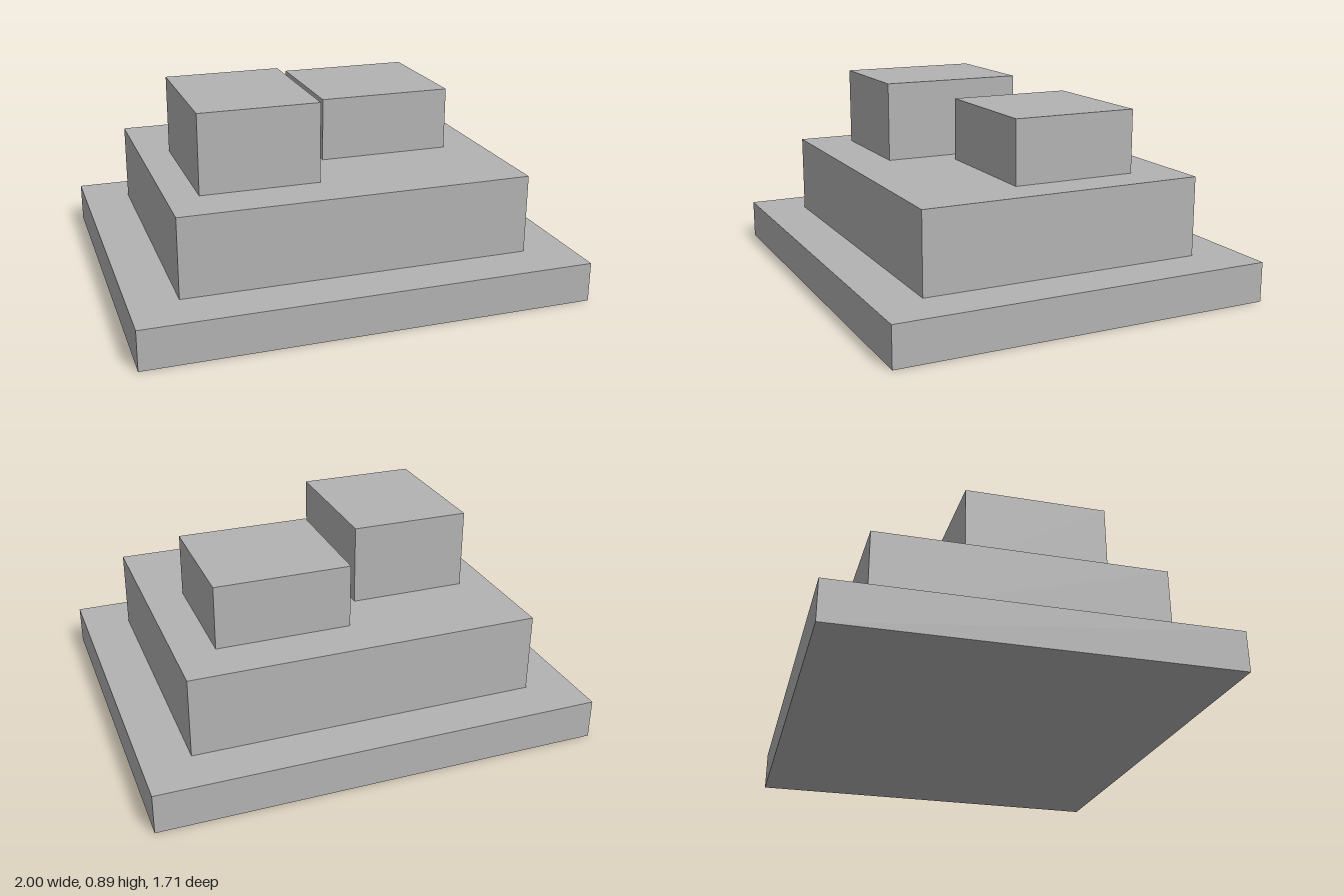
import * as THREE from 'three';

export function createModel() {
  const group = new THREE.Group();
  const grey = new THREE.MeshStandardMaterial({ color: 0xb3b3b3 });
  grey.name = 'grey';
  const U = 1 / 14; // modelling unit: the base is 28 units wide

  // Box given by its extents along each axis, in units
  function block(name, [x0, x1], [y0, y1], [z0, z1]) {
    const geometry = new THREE.BoxGeometry((x1 - x0) * U, (y1 - y0) * U, (z1 - z0) * U);
    const mesh = new THREE.Mesh(geometry, grey);
    mesh.name = name;
    mesh.position.set((x0 + x1) / 2 * U, (y0 + y1) / 2 * U, (z0 + z1) / 2 * U);
    group.add(mesh);
  }

  // Stepped plinth
  block('base', [-14, 14], [0, 2.5], [-12, 12]);
  block('middleTier', [-11, 11], [2.5, 7.5], [-9, 9]);

  // Two blocks standing on the plinth
  block('rightBlock', [-9, -1.5], [7.5, 12.5], [-3, 6]);
  block('leftBlock', [0, 8.5], [7.5, 11.5], [-6, 2]);

  return group;
}
